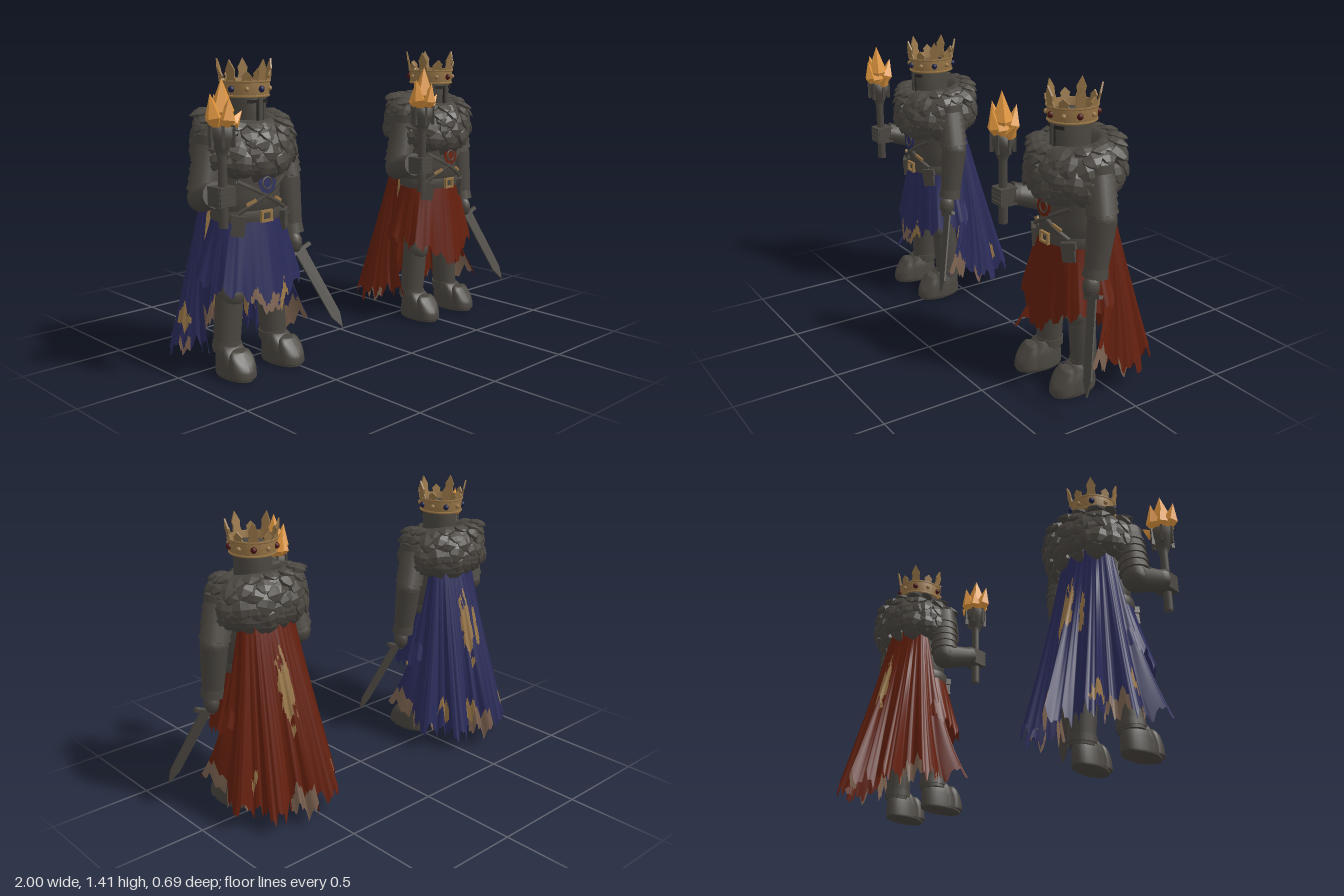
import * as THREE from 'three';
import { mergeGeometries } from 'three/addons/utils/BufferGeometryUtils.js';

const V = (x, y, z) => new THREE.Vector3(x, y, z);
const mat = (name, color, extra = {}) => Object.assign(new THREE.MeshStandardMaterial({ color, ...extra }), { name });
const open = { side: THREE.DoubleSide };
const M = {
  steel: mat('dark steel', 0x4a4640, open),
  fur: mat('dark fur', 0x4a4640, { flatShading: true }),
  dark: mat('shadow black', 0x24221f),
  gold: mat('old gold', 0x977547, open),
  flame: mat('flame orange', 0xe0963e, { flatShading: true }),
  red: mat('red cloth', 0x641f0d, open),
  blue: mat('blue cloth', 0x2a2b5a, open),
  tan: mat('frayed tan', 0x7c6250, open),
  ruby: mat('ruby', 0x4c1414),
  sapphire: mat('sapphire', 0x1d2046),
};

function add(parent, name, geo, material, p = [0, 0, 0], r = [0, 0, 0], s = [1, 1, 1]) {
  const m = new THREE.Mesh(geo, material);
  m.name = name;
  m.position.set(...p); m.rotation.set(...r); m.scale.set(...s);
  parent.add(m);
  return m;
}
// Tapered round part between two points
function limb(parent, name, a, b, ra, rb) {
  const d = b.clone().sub(a);
  const m = add(parent, name, new THREE.CylinderGeometry(rb, ra, d.length(), 14), M.steel);
  m.position.copy(a).lerp(b, 0.5);
  m.quaternion.setFromUnitVectors(V(0, 1, 0), d.normalize());
}
const lathe = (pts, n) => new THREE.LatheGeometry(pts.map(p => new THREE.Vector2(...p)), n);
const shard = (r, h, n = 5) => lathe([[0, 0], [r, h * 0.4], [0, h]], n);
const tuft = (r, h) => lathe([[0, 0], [r * 0.9, h * 0.3], [r, h * 0.6], [r * 0.5, h * 0.87], [0, h]], 6);
const shapeOf = pts => new THREE.Shape(pts.map(p => new THREE.Vector2(...p)));
const extrude = (shape, depth) => new THREE.ExtrudeGeometry(shape, { depth, bevelEnabled: false }).translate(0, 0, -depth / 2);
function seeded(seed) {
  return () => (seed = (seed * 16807) % 2147483647) / 2147483647;
}
const tri = t => Math.abs(((t % 1) + 1) % 1 * 2 - 1);
const mix = THREE.MathUtils.lerp;

// Cloth sheet from a surface rule; each cell picks a material
function cloth(parent, name, surf, nu, nv, pick, mats) {
  const pos = [], idx = mats.map(() => []);
  for (let j = 0; j <= nv; j++) for (let i = 0; i <= nu; i++) pos.push(...surf(i / nu * 2 - 1, j / nv));
  for (let j = 0; j < nv; j++) for (let i = 0; i < nu; i++) {
    const a = j * (nu + 1) + i, b = a + 1, c = a + nu + 1, d = c + 1;
    idx[pick((i + 0.5) / nu * 2 - 1, (j + 0.5) / nv)].push(a, c, b, b, c, d);
  }
  const g = new THREE.BufferGeometry();
  g.setAttribute('position', new THREE.Float32BufferAttribute(pos, 3));
  g.setIndex(idx.flat());
  let start = 0;
  idx.forEach((l, k) => { g.addGroup(start, l.length, k); start += l.length; });
  g.computeVertexNormals();
  add(parent, name, g, mats);
}
const rough = (u, v) => Math.sin(u * 41 + v * 9) + Math.sin(v * 47 - u * 23) + Math.sin(u * 87 + v * 61) * 0.7;

function skirtSurface(u, v) {
  const a = u * 2.1, s = Math.abs(a);
  const hem = 0.255 + 0.11 * Math.min(1, s / 0.7) + 0.04 * Math.max(0, s - 0.7) + 0.045 * tri(u * 6.3) + 0.025 * tri(u * 17);
  const fold = 1 + 0.05 * v * Math.cos(a * 7);
  return [mix(0.172, 0.255, v) * Math.sin(a) * fold, mix(0.73, hem, v), 0.078 + mix(0.128, 0.185, v) * Math.cos(a) * fold];
}
function capeSurface(u, v) {
  const a = u * 1.75, s = Math.abs(u);
  const hem = 0.03 + 0.07 * tri(u * 9.5) + 0.05 * tri(u * 23 + 0.3) + 0.1 * s ** 5;
  const fold = 1 + v * (0.13 * Math.cos(a * 10.3) + 0.03 * Math.cos(a * 27));
  const flare = 0.13 * v ** 4 * s ** 6;
  return [mix(0.14, 0.285, v) * Math.sin(a) * fold, mix(1.0, hem, v), -0.005 * v - mix(0.06, 0.3, v) * Math.cos(a) * fold + flare];
}

// Shaggy mantle: a rounded base covered with rows of overlapping tufts
function mantle(g) {
  const rnd = seeded(77), tufts = [];
  const prof = new THREE.SplineCurve([[0.08, 1.12], [0.13, 1.17], [0.19, 1.145], [0.224, 1.07], [0.226, 1.01], [0.2, 0.955]].map(p => new THREE.Vector2(...p)));
  const at = (t, a) => {
    const p = prof.getPoint(t), z = p.x * 0.86 * Math.cos(a);
    return V(p.x * Math.sin(a), p.y - 0.2 * (1 - t * 0.6) * z, 0.06 + z);
  };
  cloth(g, 'mantleBase', (u, v) => at(v, u * Math.PI).toArray(), 40, 14, () => 0, [M.steel]);
  for (let row = 0; row < 7; row++) {
    const t = 0.24 + row * 0.1, n = row < 2 ? 15 : 20;
    for (let i = 0; i < n; i++) {
      const a = (i + (row % 2) / 2 + rnd() * 0.6) / n * Math.PI * 2;
      const p = at(t, a), down = at(t + 0.06, a).sub(p).normalize();
      const side = at(t, a + 0.05).sub(p).normalize();
      const out = down.clone().cross(side).normalize();
      const dir = down.addScaledVector(out, -0.06 + rnd() * 0.16).addScaledVector(side, (rnd() - 0.5) * 0.7).normalize();
      const x = dir.clone().cross(out).normalize(), z = x.clone().cross(dir);
      const m = new THREE.Matrix4().makeBasis(x, dir, z).setPosition(p);
      tufts.push(tuft(0.037 + rnd() * 0.014, 0.085 + rnd() * 0.03).scale(1, 1, 0.42).applyMatrix4(m));
    }
  }
  add(g, 'mantleTufts', mergeGeometries(tufts), M.fur);
}

function helmetAndCrown(g, gem) {
  add(g, 'helmet', lathe([[0, 1.305], [0.07, 1.295], [0.085, 1.27], [0.08, 1.17], [0.085, 1.1]], 24), M.steel, [0, 0, 0.086], [0, 0, 0], [1, 1, 1.18]);
  add(g, 'noseGuard', new THREE.BoxGeometry(0.02, 0.11, 0.012), M.steel, [0, 1.195, 0.185]);
  for (const s of [-1, 1]) {
    add(g, 'eyeSlit', new THREE.BoxGeometry(0.045, 0.014, 0.008), M.dark, [s * 0.036, 1.232, 0.174], [0, s * 0.45, 0]);
    add(g, 'visorGap', new THREE.BoxGeometry(0.007, 0.1, 0.008), M.dark, [s * 0.014, 1.19, 0.182]);
  }
  const crown = new THREE.Group();
  crown.name = 'crown';
  crown.position.set(0, 1.25, 0.078);
  crown.scale.set(0.92, 1, 1);
  add(crown, 'crownBand', lathe([[0.104, 0], [0.112, 0], [0.118, 0.072], [0.11, 0.072], [0.104, 0]], 28), M.gold);
  for (const y of [0.004, 0.068]) add(crown, 'crownRim', new THREE.TorusGeometry(0.112 + y * 0.07, 0.006, 5, 28), M.gold, [0, y, 0], [Math.PI / 2, 0, 0]);
  for (let i = 0; i < 10; i++) {
    const spoke = new THREE.Group(), h = i % 2 ? 0.05 : 0.1;
    spoke.name = 'crownPoint';
    spoke.rotation.y = i * Math.PI / 5;
    add(spoke, 'spike', extrude(shapeOf([[-0.028, 0], [0.028, 0], [0.019, h * 0.3], [0.024, h * 0.55], [0, h], [-0.024, h * 0.55], [-0.019, h * 0.3]]), 0.008), M.gold, [0, 0.066, 0.113], [0.2, 0, 0]);
    add(spoke, 'jewel', new THREE.SphereGeometry(i % 2 ? 0.012 : 0.015, 10, 8), i % 2 ? M.gold : gem, [0, 0.036, 0.117]);
    crown.add(spoke);
  }
  g.add(crown);
}

// Boot: oval dome whose height follows the foot from heel to toe
function boot(g, s) {
  const geo = lathe([[0, 0], [0.97, 0], [1, 0.08], [0.97, 0.55], [0.88, 0.82], [0.68, 0.97], [0, 1]], 28);
  const p = geo.attributes.position;
  for (let i = 0; i < p.count; i++) {
    const z = p.getZ(i);
    p.setXYZ(i, p.getX(i) * 0.066, p.getY(i) * mix(0.145, 0.06, THREE.MathUtils.smoothstep(z, -0.4, 1)), z * 0.122);
  }
  geo.computeVertexNormals();
  const b = new THREE.Group();
  b.name = 'boot';
  b.position.set(s * 0.138, 0, 0.143);
  b.rotation.y = s * 0.06;
  add(b, 'bootShell', geo, M.steel);
  add(b, 'toePlate', geo, M.steel, [0, 0.012, 0.066], [0, 0, 0], [0.98, 0.86, 0.5]);
  add(b, 'instepPlate', geo, M.steel, [0, 0.008, 0.012], [0, 0, 0], [1.01, 0.98, 0.72]);
  g.add(b);
}

function body(g, color) {
  add(g, 'torso', lathe([[0, 0.66], [0.17, 0.68], [0.165, 0.82], [0.185, 0.95], [0.19, 1.1], [0, 1.12]], 28), M.steel, [0, 0, 0.08], [0, 0, 0], [1, 1, 0.72]);
  add(g, 'belt', lathe([[0.178, 0.705], [0.182, 0.72], [0.182, 0.74], [0.178, 0.755]], 28), M.steel, [0, 0, 0.08], [0, 0, 0], [1, 1, 0.74]);
  const buckle = shapeOf([[-0.032, -0.027], [0.032, -0.027], [0.032, 0.027], [-0.032, 0.027]]);
  buckle.holes.push(new THREE.Path([[-0.02, -0.016], [-0.02, 0.016], [0.02, 0.016], [0.02, -0.016]].map(p => new THREE.Vector2(...p))));
  add(g, 'buckle', extrude(buckle, 0.014), M.gold, [0, 0.728, 0.218]);
  add(g, 'chestBadge', new THREE.CylinderGeometry(0.05, 0.044, 0.009, 9), color, [0, 0.878, 0.222], [Math.PI / 2 - 0.1, 0, 0]);
  add(g, 'badgeRing', new THREE.TorusGeometry(0.026, 0.005, 5, 14), M.steel, [0, 0.876, 0.226], [-0.1, 0, 0]);
  for (const s of [-1, 1]) {
    const path = [-0.13, -0.065, 0, 0.065, 0.13].map(x => V(x * s, 0.82 + x * 0.55, 0.09 + 0.122 * Math.sqrt(1 - (x / 0.19) ** 2)));
    add(g, 'chestStrap', new THREE.TubeGeometry(new THREE.CatmullRomCurve3(path), 16, 0.01, 5), M.steel);
    add(g, 'strapClasp', new THREE.BoxGeometry(0.05, 0.014, 0.01), M.gold, [s * 0.075, 0.795, 0.208], [0, s * 0.4, -s * 0.45]);
    add(g, 'pouch', new THREE.BoxGeometry(0.06, 0.085, 0.04), M.steel, [s * 0.125, 0.69, 0.175], [0, s * 0.6, s * 0.15]);
    add(g, 'pouchFlap', new THREE.BoxGeometry(0.066, 0.035, 0.046), M.steel, [s * 0.125, 0.722, 0.175], [0, s * 0.6, s * 0.15]);
    // Legs
    limb(g, 'thigh', V(s * 0.095, 0.7, 0.08), V(s * 0.115, 0.36, 0.09), 0.08, 0.062);
    limb(g, 'shin', V(s * 0.115, 0.38, 0.09), V(s * 0.138, 0.1, 0.085), 0.064, 0.062);
    add(g, 'kneePlate', new THREE.SphereGeometry(0.06, 12, 8), M.steel, [s * 0.117, 0.37, 0.108], [0, 0, 0], [1, 1.1, 0.95]);
    limb(g, 'ankleCuff', V(s * 0.135, 0.115, 0.085), V(s * 0.132, 0.15, 0.085), 0.068, 0.066);
    boot(g, s);
  }
}

function arms(g) {
  for (const s of [-1, 1]) {
    const top = V(s * 0.19, 1.09, 0.08), elbow = V(s * 0.232, s > 0 ? 0.86 : 0.82, s > 0 ? 0.082 : 0.06);
    limb(g, 'upperArm', top, elbow, 0.066, 0.062);
    for (let i = 0; i < 5; i++) limb(g, 'armPlate', top.clone().lerp(elbow, 0.14 + i * 0.15), top.clone().lerp(elbow, 0.3 + i * 0.15), 0.065, 0.074);
    add(g, 'elbowGuard', new THREE.SphereGeometry(0.066, 12, 8), M.steel, elbow.toArray());
    const wrist = s > 0 ? V(0.235, 0.6, 0.115) : V(-0.272, 0.855, 0.215);
    limb(g, 'forearm', elbow, wrist, 0.066, 0.05);
    limb(g, 'gauntletCuff', elbow.clone().lerp(wrist, 0.8), wrist, 0.052, 0.058);
  }
  add(g, 'swordHand', new THREE.SphereGeometry(0.042, 10, 8), M.steel, [0.232, 0.555, 0.132], [0, 0, 0], [0.9, 1.3, 1]);
  add(g, 'torchHand', new THREE.BoxGeometry(0.085, 0.085, 0.08), M.steel, [-0.268, 0.855, 0.25]);
  for (let i = 0; i < 4; i++) add(g, 'finger', new THREE.BoxGeometry(0.08, 0.018, 0.03), M.steel, [-0.268, 0.825 + i * 0.021, 0.285]);
}

function sword(g) {
  const s = new THREE.Group();
  s.name = 'sword';
  const up = V(-0.15, 0.38, -0.135).normalize(), z = V(0.38, 0.145, 0).normalize().cross(up).normalize();
  s.quaternion.setFromRotationMatrix(new THREE.Matrix4().makeBasis(up.clone().cross(z), up, z));
  s.position.set(0.256, 0.515, 0.145);
  add(s, 'blade', extrude(shapeOf([[-0.03, 0], [-0.027, -0.36], [0, -0.43], [0.027, -0.36], [0.03, 0]]), 0.009), M.steel);
  add(s, 'crossGuard', new THREE.BoxGeometry(0.13, 0.018, 0.022), M.steel);
  add(s, 'grip', new THREE.CylinderGeometry(0.013, 0.013, 0.12, 8), M.steel, [0, 0.06, 0]);
  add(s, 'pommel', new THREE.SphereGeometry(0.02, 8, 6), M.steel, [0, 0.125, 0]);
  g.add(s);
}

function torch(g) {
  const t = new THREE.Group();
  t.name = 'torch';
  t.position.set(-0.268, 0, 0.262);
  add(t, 'torchShaft', lathe([[0, 0.72], [0.022, 0.72], [0.02, 1.02], [0.03, 1.05], [0.052, 1.1], [0.056, 1.15], [0.03, 1.14], [0, 1.12]], 10), M.steel);
  for (let i = 0; i < 6; i++) add(t, 'torchProng', new THREE.BoxGeometry(0.016, 0.09, 0.012), M.steel, [0.052 * Math.cos(i * 1.047), 1.11, 0.052 * Math.sin(i * 1.047)], [0, -i * 1.047, 0]);
  add(t, 'mainFlame', shard(0.054, 0.23), M.flame, [0, 1.12, 0.005]);
  [0.17, 0.13, 0.16, 0.12, 0.15].forEach((h, i) => {
    const a = i * 1.257 + 2.9;
    add(t, 'flameTongue', shard(0.038, h), M.flame, [0.032 * Math.cos(a), 1.125, 0.03 * Math.sin(a)], [Math.sin(a) * 0.2, i, -Math.cos(a) * 0.22]);
  });
  add(t, 'sideFlame', shard(0.028, 0.115), M.flame, [0.03, 1.125, 0], [0, 0, -0.75]);
  g.add(t);
}

function knight(name, x, fabric, gem, patches, fray) {
  const g = new THREE.Group();
  g.name = name;
  g.position.x = x;
  body(g, fabric); arms(g); mantle(g); helmetAndCrown(g, gem); sword(g); torch(g);
  const mats = [fabric, M.gold, M.tan];
  const worn = (u, v) => patches.some(([pu, pv, ru, rv]) => ((u - pu) / ru) ** 2 + ((v - pv) / rv) ** 2 < 1 + 0.35 * rough(u, v));
  const frayed = (u, v) => Math.sin(u * 9 + 0.8) + Math.sin(u * 21) * 0.6 > 0.35 && v + 0.04 * rough(u * 0.3, v * 0.2) > 1 - fray;
  cloth(g, 'cape', capeSurface, 150, 60, (u, v) => worn(u, v) ? 1 : frayed(u, v) ? 2 : 0, mats);
  const hemWorn = (u, v) => fray > 0.05 && Math.abs(u) < 0.22 && v + 0.03 * rough(u, v) > 0.87;
  cloth(g, 'skirt', skirtSurface, 100, 24, (u, v) => !hemWorn(u, v) ? 0 : u < 0.08 ? 2 : 1, mats);
  return g;
}

export function createModel() {
  const model = new THREE.Group();
  model.name = 'two torch-bearing knights';
  model.add(knight('blueKnight', -0.656, M.blue, M.sapphire,
    [[0.05, 0.38, 0.1, 0.17], [-0.2, 0.42, 0.04, 0.12], [0.5, 0.87, 0.06, 0.05], [-0.4, 0.88, 0.06, 0.05], [0.15, 0.87, 0.05, 0.05], [-0.75, 0.84, 0.06, 0.05]], 0.06));
  model.add(knight('redKnight', 0.59, M.red, M.ruby,
    [[0.03, 0.38, 0.1, 0.17], [0.55, 0.84, 0.03, 0.05]], 0.05));
  return model;
}
